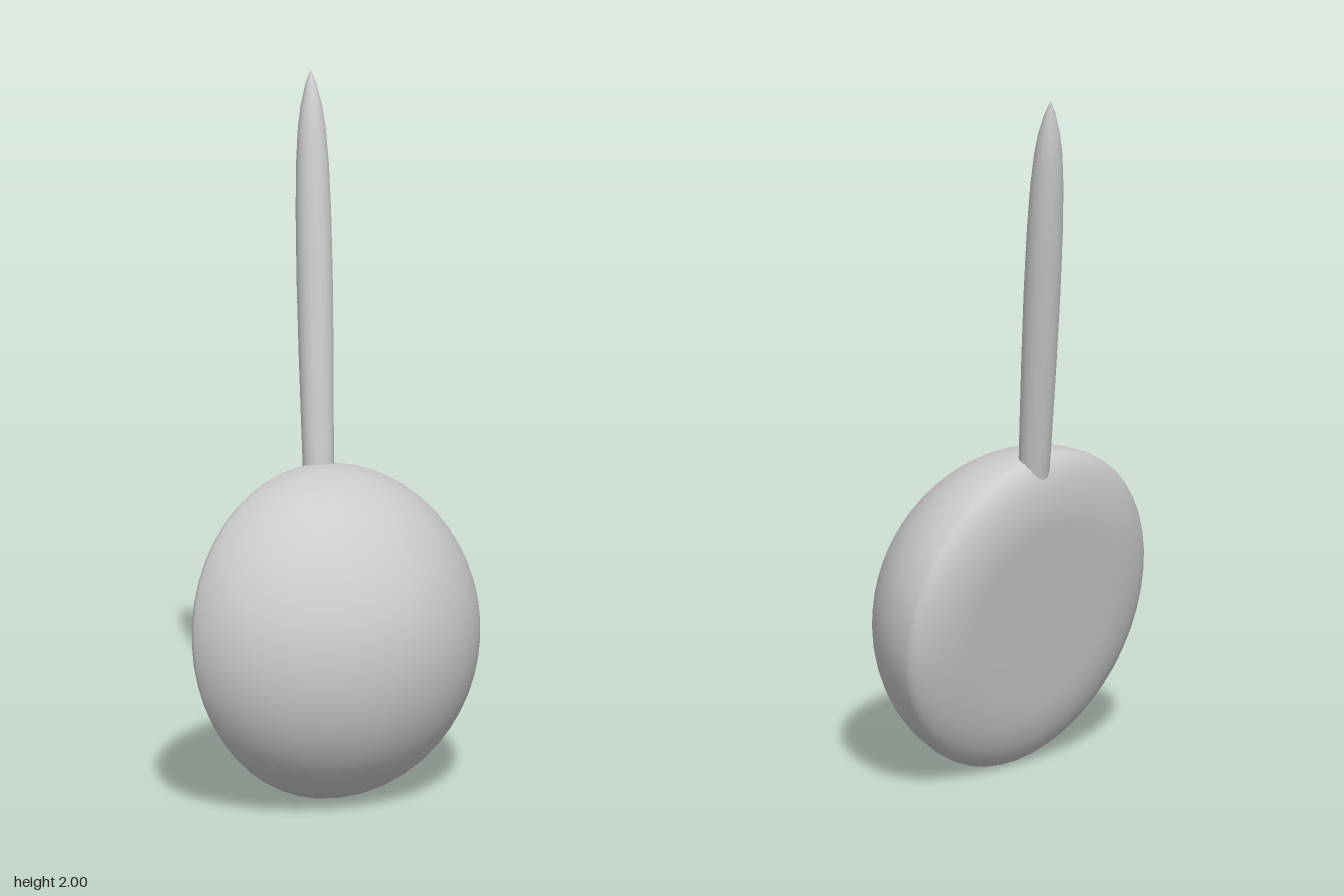
import * as THREE from 'three';

const UP = new THREE.Vector3(0, 1, 0);

// Smooth lathe whose axis is turned from +y to the given direction
function turned(name, points, segments, axis, position) {
  const mesh = new THREE.Mesh(
    new THREE.LatheGeometry(points, segments),
    new THREE.MeshStandardMaterial({ color: 0xcccccc })
  );
  mesh.name = name;
  mesh.quaternion.setFromUnitVectors(UP, axis.clone().normalize());
  mesh.position.copy(position);
  return mesh;
}

export function createModel() {
  const model = new THREE.Group();
  model.name = 'domeOnStick';

  // Dome: flat back, broadly rounded rim, slightly flattened front bulge
  const R = 0.467, depth = 0.381, round = 0.2, back = 0.08;
  const profile = [new THREE.Vector2(0, -back), new THREE.Vector2(0.14, -back)];
  for (let i = 0; i <= 12; i++) {
    const a = (i / 12) * Math.PI / 2;
    profile.push(new THREE.Vector2(R - round + round * Math.sin(a), -back * Math.cos(a)));
  }
  for (let i = 1; i <= 20; i++) {
    const a = (i / 20) * Math.PI / 2;
    profile.push(new THREE.Vector2(
      i === 20 ? 0 : R * Math.cos(a) ** 1.05, depth * Math.sin(a) ** 1.05));
  }
  model.add(turned('dome', profile, 48,
    new THREE.Vector3(0.937, 0.165, 0.305), new THREE.Vector3(-0.093, 0.464, -0.008)));

  // Stick: slender, slightly swollen in the middle, pointed at the top
  const base = new THREE.Vector3(-0.147, 0.79, -0.058);
  const tip = new THREE.Vector3(-0.28, 2, -0.222);
  const axis = tip.clone().sub(base);
  const stickProfile = [
    [0, 0], [0.025, 0.005], [0.037, 0.025], [0.043, 0.07], [0.045, 0.15], [0.049, 0.35],
    [0.051, 0.52], [0.05, 0.68], [0.046, 0.79], [0.039, 0.87], [0.03, 0.92], [0.015, 0.97], [0, 1],
  ].map(([r, t]) => new THREE.Vector2(r, t * axis.length()));
  model.add(turned('stick', stickProfile, 16, axis, base));

  return model;
}
